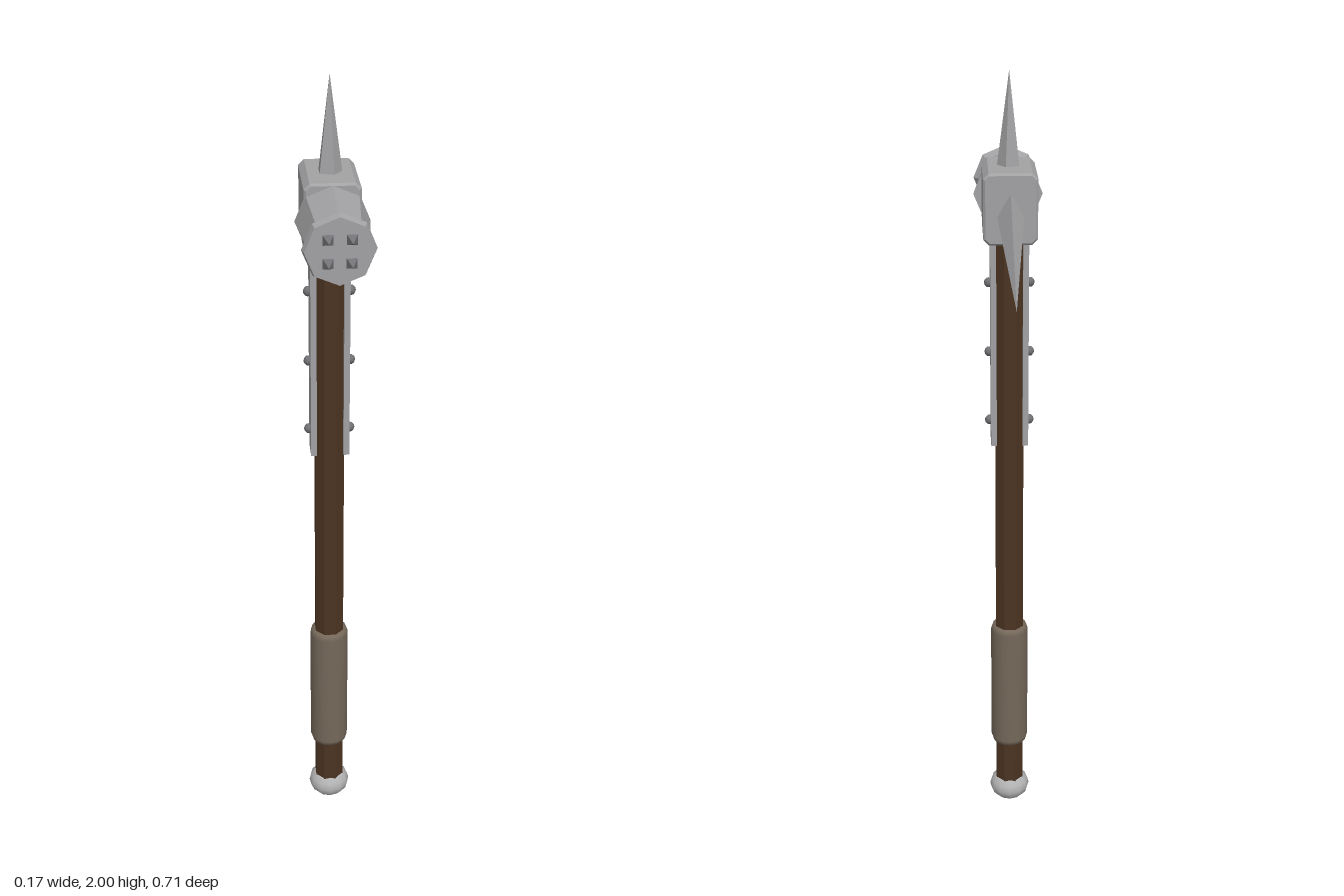
import * as THREE from 'three';

const steel = new THREE.MeshStandardMaterial({ name: 'steel', color: 0xa2a2a4 });
const rivetSteel = new THREE.MeshStandardMaterial({ name: 'dark rivet steel', color: 0x727276 });
const pommelSteel = new THREE.MeshStandardMaterial({ name: 'pale pommel steel', color: 0xb2b2b2 });
const wood = new THREE.MeshStandardMaterial({ name: 'brown wood', color: 0x4c3422 });
const leather = new THREE.MeshStandardMaterial({ name: 'grip leather', color: 0x75685a });

const AXIS_Z = 0.07; // shaft position
const HEAD_Y = 1.7; // striking axis height

// Faceted copy of a geometry
function faceted(geometry) {
  const g = geometry.index ? geometry.toNonIndexed() : geometry;
  g.computeVertexNormals();
  return g;
}

function lathe(points, sides) {
  return new THREE.LatheGeometry(points.map(([r, y]) => new THREE.Vector2(r, y)), sides);
}

export function createModel() {
  const model = new THREE.Group();
  model.name = 'warHammer';

  function add(name, geometry, material, x = 0, y = 0, z = AXIS_Z) {
    const mesh = new THREE.Mesh(geometry, material);
    mesh.name = name;
    mesh.position.set(x, y, z);
    model.add(mesh);
    return mesh;
  }

  // Shaft, grip and pommel
  add('shaft', faceted(new THREE.CylinderGeometry(0.037, 0.039, 1.59, 8, 1, false, Math.PI / 8)), wood, 0, 0.845);
  add('grip', lathe([[0.036, 0.195], [0.045, 0.197], [0.049, 0.21], [0.049, 0.545], [0.045, 0.558], [0.036, 0.56]], 16), leather);
  const pommel = add('pommel', new THREE.SphereGeometry(0.054, 12, 8), pommelSteel, 0, 0.042);
  pommel.scale.y = 0.042 / 0.054;

  // Side straps with rivets
  for (const side of [-1, 1]) {
    add('strap', new THREE.BoxGeometry(0.014, 0.56, 0.062), steel, side * 0.039, 1.37);
    for (const y of [1.15, 1.33, 1.505]) {
      const rivet = add('rivet', new THREE.SphereGeometry(0.012, 8, 6), rivetSteel, side * 0.05, y);
      rivet.scale.x = 0.9;
    }
  }

  // Central block with chamfered edges
  const w = 0.058, h = 0.078, c = 0.01;
  const outline = new THREE.Shape([
    [w - c, -h], [w, -h + c], [w, h - c], [w - c, h],
    [-w + c, h], [-w, h - c], [-w, -h + c], [-w + c, -h],
  ].map(([x, y]) => new THREE.Vector2(x, y)));
  add('headBlock', faceted(new THREE.ExtrudeGeometry(outline, {
    depth: 0.17, bevelEnabled: true, bevelThickness: 0.005, bevelSize: 0.005, bevelSegments: 1,
  })), steel, 0, 1.703, -0.019);

  // Octagonal striking end with a flared face
  const hammer = lathe([
    [0, 0.145], [0.083, 0.145], [0.067, 0.3], [0.08, 0.315], [0.075, 0.332], [0, 0.332],
  ], 8).rotateX(Math.PI / 2);
  add('strikingEnd', faceted(hammer), steel, 0, HEAD_Y, 0);

  // Four small studs on the face
  for (const x of [-0.025, 0.025]) {
    for (const y of [-0.026, 0.026]) {
      const stud = new THREE.ConeGeometry(0.017, 0.027, 4, 1, false, Math.PI / 4).rotateX(Math.PI / 2);
      add('faceStud', faceted(stud), rivetSteel, x, HEAD_Y + y, 0.344);
    }
  }

  // Top spike
  add('topSpike', faceted(new THREE.ConeGeometry(0.029, 0.22, 5, 1, false, Math.PI / 2)), steel, 0, 1.89);

  // Rear spike, a deep diamond section angled downward
  const base = new THREE.Vector3(0, 1.69, -0.012);
  const tip = new THREE.Vector3(0, 1.57, -0.356);
  const length = base.distanceTo(tip);
  const beak = new THREE.ConeGeometry(1, length, 4)
    .scale(0.032, 1, 0.053)
    .translate(0, length / 2, 0)
    .rotateX(-Math.PI / 2 - Math.atan2(base.y - tip.y, base.z - tip.z));
  add('rearSpike', faceted(beak), steel, 0, base.y, base.z);

  return model;
}
